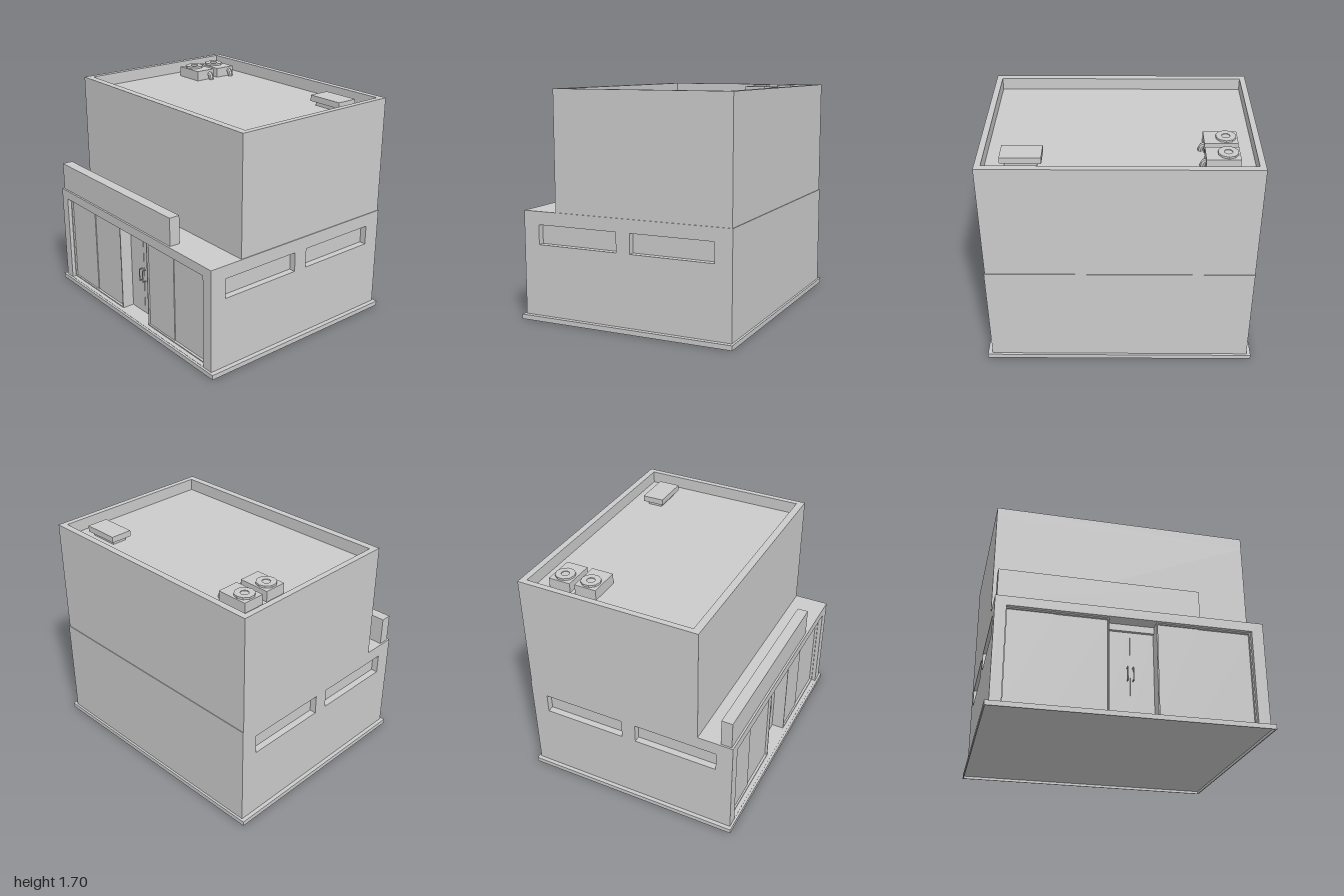
import * as THREE from 'three';

const material = new THREE.MeshStandardMaterial({ color: 0xcccccc, flatShading: true });
const ROOF = 1.603;

function add(parent, name, geometry) {
  const mesh = new THREE.Mesh(geometry, material);
  mesh.name = name;
  parent.add(mesh);
  return mesh;
}

// Box given by its extents on each axis
function box(parent, name, [x0, x1], [y0, y1], [z0, z1]) {
  const mesh = add(parent, name, new THREE.BoxGeometry(x1 - x0, y1 - y0, z1 - z0));
  mesh.position.set((x0 + x1) / 2, (y0 + y1) / 2, (z0 + z1) / 2);
  return mesh;
}

function rect(path, [a0, a1], [b0, b1]) {
  path.moveTo(a0, b0);
  path.lineTo(a1, b0);
  path.lineTo(a1, b1);
  path.lineTo(a0, b1);
  path.closePath();
  return path;
}

// Rectangular slab with rectangular holes, extruded along +z
function panel(a, b, holes, depth) {
  const shape = rect(new THREE.Shape(), a, b);
  for (const [ha, hb] of holes) shape.holes.push(rect(new THREE.Path(), ha, hb));
  return new THREE.ExtrudeGeometry(shape, { depth, bevelEnabled: false });
}

// Flat rectangular ring lying on height y; the second extent of each panel is -z
function flatRing(parent, name, outer, inner, y, height) {
  const ring = panel(...outer, [inner], height);
  ring.rotateX(-Math.PI / 2);
  add(parent, name, ring).position.y = y;
}

function addGroundFloor(model) {
  const floor = new THREE.Group();
  floor.name = 'groundFloor';
  model.add(floor);
  box(floor, 'core', [-0.92, 0.915], [0.035, 0.81], [-0.82, 0.69]);

  // Side walls with two slot windows each
  const slots = [[0.055, 0.695], [-0.69, -0.055]].map(z => [z, [0.565, 0.712]]);
  for (const [name, x] of [['leftWall', 0.965], ['rightWall', -0.92]]) {
    const wall = panel([-0.82, 0.82], [0.035, 0.81], slots, 0.05);
    wall.rotateY(-Math.PI / 2);
    add(floor, name, wall).position.x = x;
  }

  // Front wall around the wide shop opening
  const front = panel([-0.92, 0.915], [0.035, 0.81], [[[-0.89, 0.877], [0.037, 0.74]]], 0.13);
  add(floor, 'frontWall', front).position.z = 0.69;

  // Shop windows: thin frame and two sliding panes
  for (const [x0, x1, mid] of [[-0.89, -0.167, -0.545], [0.175, 0.877, 0.49]]) {
    const frame = panel([x0, x1], [0.04, 0.74], [[[x0 + 0.009, x1 - 0.009], [0.048, 0.733]]], 0.1);
    add(floor, 'windowFrame', frame).position.z = 0.69;
    box(floor, 'windowPane', [x0 + 0.009, mid], [0.048, 0.733], [0.69, 0.777]);
    box(floor, 'windowPane', [mid, x1 - 0.009], [0.048, 0.733], [0.69, 0.771]);
  }
}

function addDoor(model) {
  const door = new THREE.Group();
  door.name = 'entrance';
  model.add(door);
  box(door, 'doorHeader', [-0.167, 0.175], [0.69, 0.74], [0.69, 0.715]);
  for (const s of [-1, 1]) {
    const leaf = add(door, 'doorLeaf', new THREE.BoxGeometry(0.166, 0.648, 0.008));
    leaf.position.set(s * 0.085, 0.364, 0.692);
    // Bracket handle: upright grip on two stubs
    const grip = add(door, 'doorHandle', new THREE.BoxGeometry(0.006, 0.1, 0.006));
    grip.position.set(s * 0.02, 0.365, 0.725);
    for (const y of [0.318, 0.412]) {
      const stub = add(door, 'handleStub', new THREE.BoxGeometry(0.006, 0.006, 0.03));
      stub.position.set(s * 0.02, y, 0.71);
    }
  }
}

function addCoolingUnit(model, z, top) {
  const unit = new THREE.Group();
  unit.name = 'coolingUnit';
  model.add(unit);
  box(unit, 'housing', [-0.82, -0.585], [ROOF, top], [z - 0.083, z + 0.083]);
  // Raised fan ring around a slightly sunken hub
  const profile = [[0.072, 0], [0.072, 0.015], [0.03, 0.015], [0.03, 0.01], [0, 0.01]];
  const fan = new THREE.LatheGeometry(profile.map(p => new THREE.Vector2(...p)), 10);
  add(unit, 'fan', fan).position.set(-0.738, top, z);
  // Pipe bending down to the roof
  const bend = new THREE.QuadraticBezierCurve3(
    new THREE.Vector3(-0.59, 1.645, z - 0.04),
    new THREE.Vector3(-0.563, 1.645, z - 0.04),
    new THREE.Vector3(-0.563, ROOF, z - 0.04));
  add(unit, 'pipe', new THREE.TubeGeometry(bend, 5, 0.02, 8));
}

export function createModel() {
  const model = new THREE.Group();
  model.name = 'shopBuilding';

  // Base slab with a thin rim around its recessed underside
  box(model, 'baseSlab', [-1, 1], [0.02, 0.035], [-0.837, 0.837]);
  flatRing(model, 'baseRim', [[-1, 1], [-0.837, 0.837]], [[-0.992, 0.992], [-0.829, 0.829]], 0, 0.02);

  addGroundFloor(model);
  addDoor(model);
  box(model, 'signBoard', [-0.957, 0.494], [0.81, 1.023], [0.722, 0.805]);

  // Upper storey, its walls rising flush into a parapet around the flat roof
  box(model, 'upperStorey', [-0.97, 0.959], [0.81, ROOF], [-0.815, 0.553]);
  flatRing(model, 'parapet', [[-0.97, 0.959], [-0.553, 0.815]],
    [[-0.927, 0.915], [-0.498, 0.767]], ROOF, 1.693 - ROOF);

  // Roof equipment
  addCoolingUnit(model, -0.372, 1.681);
  addCoolingUnit(model, -0.578, 1.677);
  box(model, 'hatchBase', [0.555, 0.78], [ROOF, 1.635], [-0.625, -0.51]);
  box(model, 'hatchCap', [0.525, 0.81], [1.635, 1.68], [-0.652, -0.485]);
  return model;
}
